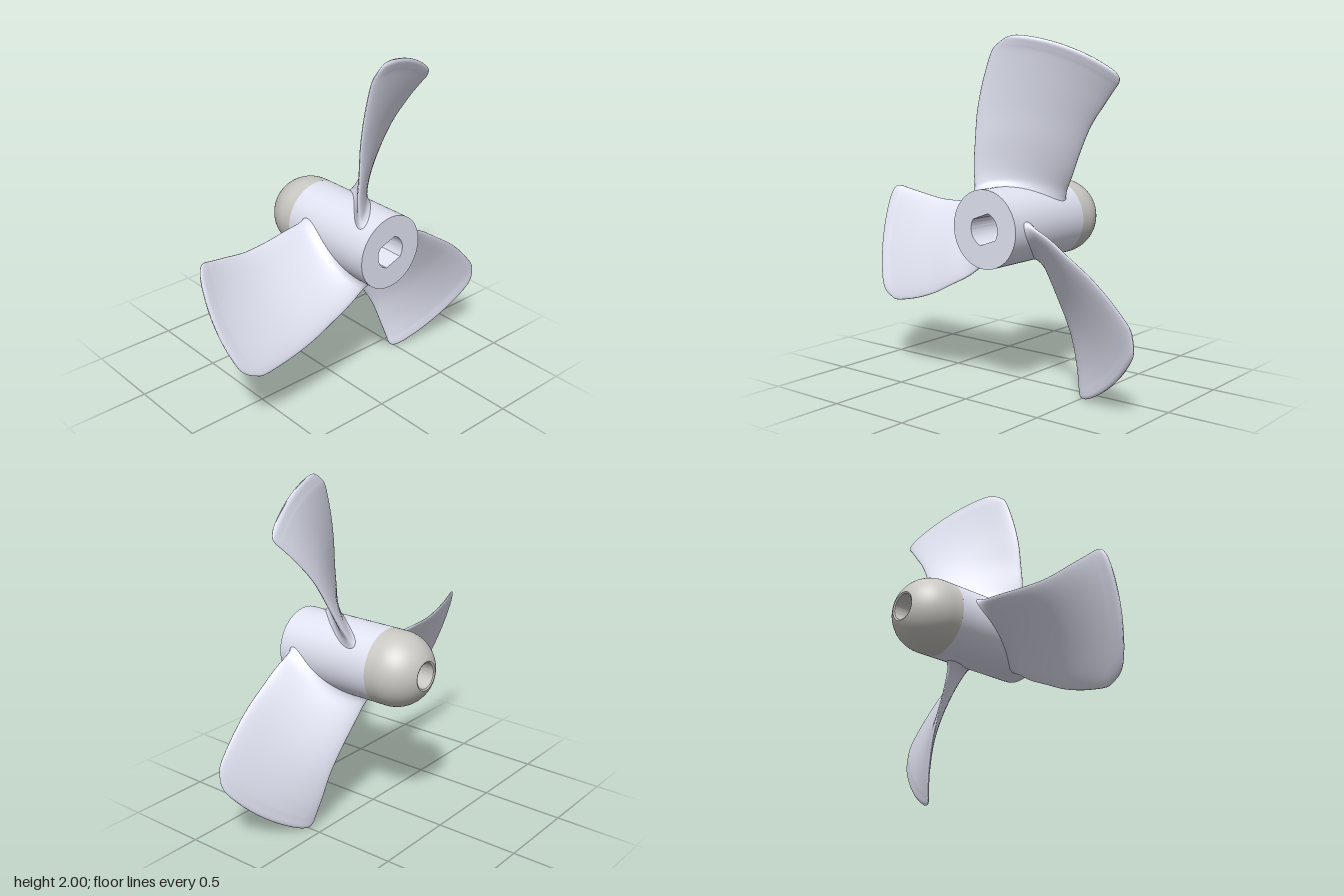
import * as THREE from 'three';
import { toCreasedNormals } from 'three/addons/utils/BufferGeometryUtils.js';

const HUB_R = 0.219, BORE_R = 0.075;
const paleBlue = new THREE.MeshStandardMaterial({ color: 0xe1e3f2 });
const capGrey = new THREE.MeshStandardMaterial({ color: 0xc9c8c3 });

// Blade stations: radius, then angle (degrees) and axial x of both edges
const STATIONS = [
  [0.19, -47, 0.385, 58, -0.085],
  [0.24, -38, 0.352, 50, -0.06],
  [0.30, -30.5, 0.345, 45, -0.045],
  [0.47, -18.7, 0.342, 38.8, -0.015],
  [0.66, -11.9, 0.334, 36, 0.012],
  [0.845, -6.3, 0.322, 36.8, 0.038],
  [0.96, -3, 0.314, 37.6, 0.062],
  [1.0, -0.6, 0.308, 37.9, 0.072],
  [1.03, 2, 0.3, 37.4, 0.083],
  [1.046, 4.5, 0.286, 35.3, 0.1],
  [1.05, 7.5, 0.27, 32, 0.122],
];

function edgeCurve(col) {
  const pts = STATIONS.map(s => new THREE.Vector3(s[0], THREE.MathUtils.degToRad(s[col]), s[col + 1]));
  return new THREE.CatmullRomCurve3(pts, false, 'catmullrom', 0.5);
}

// Twisted blade: rounded thin sections wrapped on cylinders of growing radius
function bladeGeometry() {
  const rows = 70, ring = 48;
  const left = edgeCurve(1), right = edgeCurve(3);
  const pos = [], index = [];
  const put = (r, s, x) => pos.push(x, r * Math.cos(s / r), -r * Math.sin(s / r));
  let tip;
  for (let i = 0; i <= rows; i++) {
    const L = left.getPoint(i / rows), R = right.getPoint(i / rows), r = L.x;
    const cs = r * (R.y - L.y) / 2, cx = (R.z - L.z) / 2;
    const ms = r * (R.y + L.y) / 2, mx = (R.z + L.z) / 2;
    const len = Math.hypot(cs, cx);
    // thickness swells into a fillet at the hub and rounds off at the tip
    const k = Math.min(1, Math.max(0, (r - 1.025) / 0.0255));
    const half = (0.023 - 0.008 * r + 0.07 * Math.exp(-(r - 0.19) / 0.028)) * Math.sqrt(1 - k * k);
    const camber = 0.028 * (1 - r / 1.05);
    for (let j = 0; j < ring; j++) {
      const a = j / ring * Math.PI * 2, u = Math.cos(a);
      const v = Math.sign(Math.sin(a)) * Math.sqrt(Math.max(0, 1 - u ** 6)) * half + camber * (1 - u * u);
      put(r, ms + cs * u - cx / len * v, mx + cx * u + cs / len * v);
    }
    tip = [r, ms, mx];
  }
  for (let i = 0; i < rows; i++) for (let j = 0; j < ring; j++) {
    const a = i * ring + j, b = i * ring + (j + 1) % ring;
    index.push(a, a + ring, b, b, a + ring, b + ring);
  }
  // close the tip
  put(...tip);
  const c = (rows + 1) * ring, last = rows * ring;
  for (let j = 0; j < ring; j++) index.push(c, last + (j + 1) % ring, last + j);
  const geo = new THREE.BufferGeometry();
  geo.setAttribute('position', new THREE.Float32BufferAttribute(pos, 3));
  geo.setIndex(index);
  geo.computeVertexNormals();
  return geo;
}

// Cylinder with a keyed bore: a round hole with two flats
function hubGeometry() {
  const shape = new THREE.Shape().absarc(0, 0, HUB_R, 0, Math.PI * 2, false);
  const r = 0.093, flat = Math.asin(BORE_R / r), tilt = 0.35;
  const hole = new THREE.Path();
  hole.absarc(0, 0, r, tilt - flat, tilt + flat, false);
  hole.absarc(0, 0, r, tilt + Math.PI - flat, tilt + Math.PI + flat, false);
  hole.closePath();
  shape.holes.push(hole);
  const geo = new THREE.ExtrudeGeometry(shape, { depth: 0.623, bevelEnabled: false, curveSegments: 40 });
  geo.rotateY(Math.PI / 2).translate(-0.18, 0, 0);
  return toCreasedNormals(geo, 0.5);
}

// Domed cap with a round through hole
function capGeometry() {
  const pts = [new THREE.Vector2(BORE_R, 0.18), new THREE.Vector2(HUB_R, 0.18)];
  const end = Math.acos(0.085 / HUB_R);
  for (let i = 0; i <= 20; i++) {
    const a = end * i / 20;
    pts.push(new THREE.Vector2(HUB_R * Math.cos(a), 0.243 + HUB_R * Math.sin(a)));
  }
  pts.push(new THREE.Vector2(BORE_R, 0.44), new THREE.Vector2(BORE_R, 0.18));
  return toCreasedNormals(new THREE.LatheGeometry(pts, 72).rotateZ(Math.PI / 2), 0.5);
}

export function createModel() {
  const model = new THREE.Group();
  model.name = 'propeller';
  const rotor = new THREE.Group();
  rotor.name = 'rotor';
  rotor.position.set(0, 0.957, -0.092);
  model.add(rotor);

  const add = (name, geo, mat) => {
    const mesh = new THREE.Mesh(geo, mat);
    mesh.name = name;
    rotor.add(mesh);
    return mesh;
  };
  add('hub', hubGeometry(), paleBlue);
  add('noseCap', capGeometry(), capGrey);
  const blade = bladeGeometry();
  for (let i = 0; i < 3; i++) add('blade' + (i + 1), blade, paleBlue).rotation.x = i * Math.PI * 2 / 3;
  return model;
}
